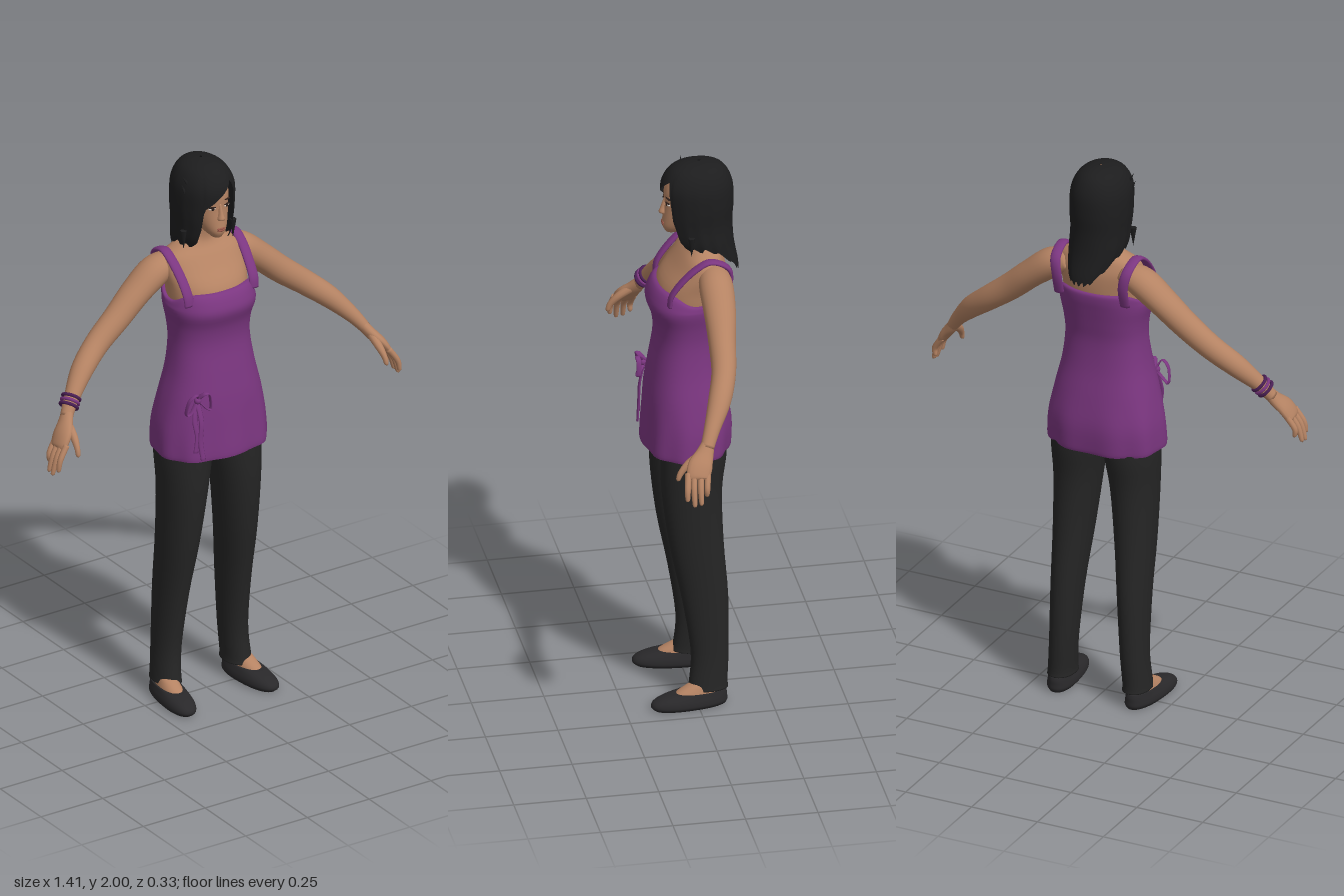
import * as THREE from 'three';

const mat = (name, color, side = THREE.FrontSide) => {
  const m = new THREE.MeshStandardMaterial({ color, side });
  m.name = name;
  return m;
};

// Catmull-Rom through rows of numbers, `steps` samples per span
function smoothRows(rows, steps) {
  const out = [], at = i => rows[Math.min(rows.length - 1, Math.max(0, i))];
  for (let i = 0; i < rows.length - 1; i++) {
    for (let k = 0; k < steps; k++) {
      const t = k / steps, a = at(i - 1), b = at(i), c = at(i + 1), d = at(i + 2);
      out.push(b.map((_, j) => 0.5 * (2 * b[j] + (c[j] - a[j]) * t +
        (2 * a[j] - 5 * b[j] + 4 * c[j] - d[j]) * t * t + (3 * b[j] - a[j] - 3 * c[j] + d[j]) * t ** 3)));
    }
  }
  out.push(at(rows.length - 1));
  return out;
}

// Skin a stack of rings, with optional end caps
function skinRings(rings, capped) {
  const n = rings[0].length, pos = [], idx = [];
  rings.forEach(r => r.forEach(p => pos.push(p.x, p.y, p.z)));
  for (let i = 0; i < rings.length - 1; i++) {
    for (let j = 0; j < n; j++) {
      const a = i * n + j, b = i * n + (j + 1) % n;
      idx.push(a, a + n, b, b, a + n, b + n);
    }
  }
  if (capped) {
    [0, rings.length - 1].forEach((r, end) => {
      const c = rings[r].reduce((s, p) => s.add(p), new THREE.Vector3()).divideScalar(n);
      const pole = pos.length / 3;
      pos.push(c.x, c.y, c.z);
      for (let j = 0; j < n; j++) {
        const a = r * n + j, b = r * n + (j + 1) % n;
        end ? idx.push(a, pole, b) : idx.push(a, b, pole);
      }
    });
  }
  const g = new THREE.BufferGeometry();
  g.setAttribute('position', new THREE.Float32BufferAttribute(pos, 3));
  g.setIndex(idx);
  g.computeVertexNormals();
  return g;
}

const power = (v, p) => Math.sign(v) * Math.abs(v) ** (2 / p);
const ringPoint = (y, cx, hw, zb, zf, p, a) => new THREE.Vector3(
  cx + hw * power(Math.cos(a), p), y, (zb + zf) / 2 + (zf - zb) / 2 * power(Math.sin(a), p));

// Upright loft; rows are [y, centreX, halfWidth, zBack, zFront]
function loft(rows, { p = 2.2, n = 36, steps = 4, capped = true, warp } = {}) {
  return skinRings(smoothRows(rows, steps).map(r => Array.from({ length: n }, (_, j) => {
    const a = j / n * Math.PI * 2, v = ringPoint(...r, p, a);
    if (warp) warp(v, a);
    return v;
  })), capped);
}

// Limb along a path; rows are [x, y, z, radiusAlongSide, radiusAcross]
function limb(rows, side, n = 16, steps = 5) {
  const s = smoothRows(rows, steps), pts = s.map(r => new THREE.Vector3(r[0], r[1], r[2]));
  return skinRings(s.map((r, i) => {
    const T = pts[Math.min(i + 1, s.length - 1)].clone().sub(pts[Math.max(i - 1, 0)]).normalize();
    const N = side.clone().cross(T).normalize(), B = T.clone().cross(N);
    return Array.from({ length: n }, (_, j) => {
      const a = j / n * Math.PI * 2;
      return pts[i].clone().addScaledVector(B, Math.cos(a) * r[3]).addScaledVector(N, Math.sin(a) * r[4]);
    });
  }), true);
}

// Hair shell whose lower edge varies around the head to open the face
function hairGeometry() {
  const prof = smoothRows([[1.58, .02, .035, -.165, -.1], [1.62, .015, .065, -.165, -.055], [1.7, .004, .096, -.152, .05],
    [1.78, 0, .1, -.148, .085], [1.85, 0, .104, -.152, .094], [1.92, 0, .1, -.148, .096],
    [1.97, 0, .077, -.125, .068], [1.993, 0, .042, -.09, .025], [2, 0, .004, -.04, -.03]], 8);
  const sample = y => {
    let i = 0;
    while (i < prof.length - 2 && prof[i + 1][0] < y) i++;
    const a = prof[i], b = prof[i + 1], t = (y - a[0]) / (b[0] - a[0]);
    return a.map((v, j) => v + (b[j] - v) * t);
  };
  const n = 96, rings = [], ss = THREE.MathUtils.smoothstep;
  for (let k = 0; k <= 36; k++) {
    const v = 1 - (1 - k / 36) ** 1.5;
    rings.push(Array.from({ length: n }, (_, j) => {
      const a = j / n * Math.PI * 2, x = Math.cos(a) * .1;
      const s = Math.abs(Math.atan2(Math.cos(a), Math.sin(a)));
      const fringe = 1.905 + (x < .045 ? x * .9 : .04 - (x - .045) * 2);
      const lock = 1.7 - .1 * ss(s, 1.5, 2.6) + .008 * Math.sin(a * 17);
      const low = fringe + (lock - fringe) * ss(s, .55, .76);
      const r = sample(low + (2 - low) * v), f = 1 + .012 * Math.sin(a * 16) * (1 - v);
      return ringPoint(r[0], r[1], r[2] * f, r[3], r[4], 2.1, a);
    }));
  }
  return skinRings(rings, false);
}

export function createModel() {
  const root = new THREE.Group();
  const skin = mat('skin', 0xb58363), purple = mat('purple cloth', 0x7b3680, THREE.DoubleSide);
  const trouser = mat('black trousers', 0x252525, THREE.DoubleSide), hairMat = mat('black hair', 0x1d1d1e, THREE.DoubleSide);
  const shoeMat = mat('shoe black', 0x29282a), lip = mat('lip', 0x985748), white = mat('eye white', 0xd8cec6);
  const dark = mat('dark brown', 0x2a1c17), band = mat('bracelet purple', 0x4a1f55);
  const X = new THREE.Vector3(1, 0, 0), Z = new THREE.Vector3(0, 0, 1);
  const add = (name, geo, m, parent = root) => {
    const o = new THREE.Mesh(geo, m);
    o.name = name;
    parent.add(o);
    return o;
  };
  const blob = (name, m, x, y, z, sx, sy, sz) => {
    const o = add(name, new THREE.SphereGeometry(1, 16, 10), m);
    o.position.set(x, y, z);
    o.scale.set(sx, sy, sz);
    return o;
  };

  // Torso and neck
  add('torso', loft([[1.4, 0, .125, -.085, .09], [1.5, 0, .142, -.11, .112], [1.56, 0, .147, -.12, .105],
    [1.62, 0, .155, -.12, .06], [1.66, 0, .145, -.108, .03], [1.685, 0, .1, -.1, .01],
    [1.71, 0, .058, -.09, .003], [1.75, 0, .045, -.083, .008], [1.81, 0, .045, -.075, .02]]), skin);

  // Head and face
  add('head', loft([[1.742, 0, .018, .035, .08], [1.765, 0, .038, -.03, .092], [1.8, 0, .054, -.07, .09],
    [1.85, 0, .065, -.1, .085], [1.9, 0, .068, -.115, .085], [1.95, 0, .055, -.1, .065], [1.985, 0, .012, -.04, .01]]), skin);
  add('nose', loft([[1.808, 0, .007, .07, .09], [1.816, 0, .014, .07, .104], [1.835, 0, .009, .07, .098],
    [1.87, 0, .005, .07, .086]], { n: 14 }), skin);
  blob('upperLip', lip, 0, 1.779, .09, .018, .004, .005);
  blob('lowerLip', lip, 0, 1.772, .09, .015, .005, .005);
  for (const s of [1, -1]) {
    blob('eyeWhite', white, s * .029, 1.856, .078, .013, .005, .005).rotation.y = s * .25;
    blob('iris', dark, s * .028, 1.856, .081, .006, .0055, .004);
    blob('upperLid', dark, s * .029, 1.861, .079, .014, .002, .005).rotation.y = s * .25;
    blob('eyebrow', dark, s * .03, 1.879, .078, .017, .0025, .005).rotation.set(0, s * .25, s * -.1);
  }

  // Hair and loose wisps
  add('hair', hairGeometry(), hairMat);
  [[-.085, 1.94, 1.1], [-.095, 1.91, .8], [-.1, 1.73, 2.7], [.1, 1.72, -2.7]].forEach(([x, y, r]) => {
    const o = add('hairWisp', new THREE.ConeGeometry(.012, .07, 6), hairMat);
    o.position.set(x, y, .01);
    o.rotation.z = r * .5;
    if (y < 1.8) o.rotation.z = Math.PI;
  });

  // Tunic with flared hem and dipped armholes
  add('tunic', loft([[.948, 0, .203, -.13, .163], [.97, 0, .205, -.134, .164], [1.05, 0, .2, -.136, .158],
    [1.15, 0, .18, -.12, .15], [1.25, 0, .156, -.102, .135], [1.35, 0, .143, -.096, .12], [1.42, 0, .147, -.106, .126],
    [1.48, 0, .159, -.118, .146], [1.52, 0, .157, -.126, .138], [1.548, 0, .152, -.126, .12], [1.552, 0, .14, -.11, .1]],
  { p: 2.4, n: 64, capped: false, warp: (v, a) => {
    if (v.y > 1.49) v.y -= (v.y - 1.49) * .6 * Math.cos(a) ** 8;
    const flare = Math.max(0, 1.15 - v.y) * .02 * Math.sin(a * 9);
    v.x += flare * Math.cos(a);
    v.z += flare * Math.sin(a);
  } }), purple);

  // Ribbon bow and tails at the hip
  const ribbons = [
    [[-.125, 1.18, .125], [-.138, 1.21, .15], [-.165, 1.19, .145], [-.172, 1.14, .135], [-.155, 1.14, .14], [-.125, 1.18, .13]],
    [[-.125, 1.18, .125], [-.11, 1.208, .155], [-.09, 1.2, .155], [-.085, 1.15, .155], [-.1, 1.15, .155], [-.125, 1.18, .13]],
    [[-.125, 1.18, .128], [-.118, 1.1, .148], [-.123, 1.03, .15], [-.115, .96, .155]],
    [[-.125, 1.18, .128], [-.14, 1.11, .14], [-.133, 1.05, .146], [-.14, .99, .146]]];
  ribbons.forEach((pts, i) => add(i < 2 ? 'bowLoop' : 'bowTail',
    limb(pts.map(q => [...q, i < 2 ? .009 : .004, i < 2 ? .003 : .01]), Z, 8), purple));
  blob('bowKnot', purple, -.125, 1.18, .135, .013, .013, .012);

  for (const s of [1, -1]) {
    const side = s > 0 ? 'left' : 'right';
    const flip = rows => rows.map(([x, ...r]) => [x * s, ...r]);

    // Shoulder strap
    add(side + 'Strap', limb(flip([[.13, 1.52, .092, .019, .008], [.133, 1.56, .085, .019, .008], [.136, 1.61, .05, .019, .009],
      [.14, 1.658, 0, .019, .009], [.14, 1.68, -.05, .019, .008], [.135, 1.65, -.108, .019, .009],
      [.125, 1.59, -.118, .019, .009], [.125, 1.52, -.1, .019, .008]]), X, 12), purple);

    // Arm, palm and digits
    add(side + 'Arm', limb(flip([[.1, 1.63, -.06, .045, .035], [.17, 1.605, -.06, .058, .052], [.25, 1.545, -.058, .055, .049],
      [.33, 1.475, -.05, .047, .047], [.42, 1.405, -.038, .042, .043], [.5, 1.34, -.008, .039, .038],
      [.565, 1.272, .03, .028, .027], [.605, 1.22, .055, .023, .02]]), Z, 24), skin);
    add(side + 'Palm', limb(flip([[.595, 1.235, .049, .022, .019], [.615, 1.205, .065, .031, .02], [.64, 1.175, .085, .042, .019],
      [.66, 1.145, .096, .04, .015], [.666, 1.136, .098, .03, .008]]), Z), skin);
    [[.062, .682, 1.083, .07], [.085, .697, 1.062, .092], [.108, .698, 1.058, .115], [.129, .69, 1.075, .138]]
      .forEach(([z, x, y, zt]) => add(side + 'Finger', limb(flip([[.652, 1.155, z, .011, .011],
        [.682, 1.11, (z + zt) / 2 + .003, .0105, .01], [x, y, zt, .008, .008], [x + .001, y - .006, zt, .003, .003]]), Z, 10), skin));
    add(side + 'Thumb', limb(flip([[.612, 1.205, .075, .016, .015], [.617, 1.175, .12, .014, .014],
      [.622, 1.145, .148, .011, .01], [.624, 1.122, .158, .008, .008], [.624, 1.115, .16, .002, .002]]), Z, 10), skin);

    // Trouser leg
    add(side + 'TrouserLeg', loft([[.06, .142 * s, .048, -.107, .032], [.09, .141 * s, .046, -.105, .026],
      [.2, .134 * s, .046, -.11, .02], [.4, .126 * s, .053, -.11, .05], [.6, .117 * s, .066, -.096, .09],
      [.8, .107 * s, .08, -.092, .114], [.95, .098 * s, .094, -.11, .116], [1.1, .088 * s, .09, -.1, .11]], { p: 2.1 }), trouser);

    // Foot and slip-on shoe, turned slightly outward
    const foot = new THREE.Group();
    foot.name = side + 'Foot';
    foot.position.x = .154 * s;
    foot.rotation.y = .11 * s;
    root.add(foot);
    add('instep', loft([[.02, 0, .04, -.088, .09], [.05, 0, .037, -.088, .08], [.072, 0, .032, -.086, .045],
      [.095, 0, .028, -.075, .005], [.14, 0, .027, -.065, -.005]]), skin, foot);
    add('shoe', loft([[0, 0, .043, -.098, .152], [.012, 0, .052, -.104, .164], [.028, 0, .051, -.103, .158],
      [.042, 0, .046, -.102, .132], [.054, 0, .041, -.098, .085]], { p: 2.3 }), shoeMat, foot);
  }

  // Bracelets on the right wrist
  [0, 1, 2].forEach(i => {
    const o = add('bracelet', new THREE.TorusGeometry(.03, .006, 8, 24), i === 1 ? purple : band);
    o.position.set(-.568 - i * .009, 1.272 - i * .011, .03 + i * .006);
    o.lookAt(o.position.clone().add(new THREE.Vector3(-.6, -.7, .38)));
  });
  return root;
}
